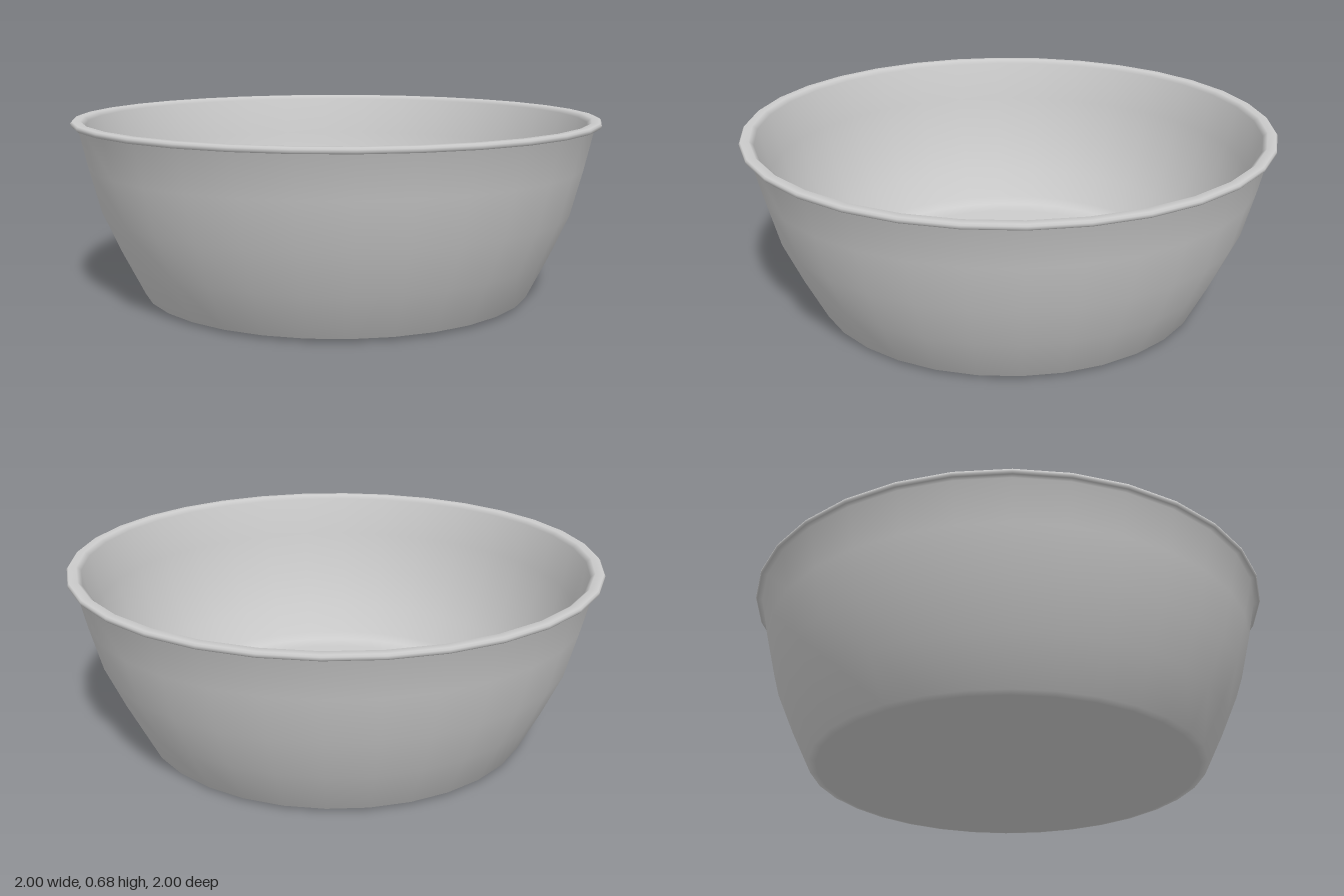
import * as THREE from 'three';

export function createModel() {
  const group = new THREE.Group();
  group.name = 'bowl';
  const material = new THREE.MeshStandardMaterial({ color: 0xcccccc });

  // Closed profile: underside, outer wall, rolled lip, inner wall, floor
  const profile = [
    [0, 0], [0.58, 0], [0.72, 0.005], [0.75, 0.012],
    [0.83, 0.175], [0.9, 0.335], [0.943, 0.505], [0.976, 0.655],
    [0.995, 0.655], [1, 0.661], [1, 0.669], [0.995, 0.675],
    [0.965, 0.675], [0.948, 0.66],
    [0.91, 0.505], [0.867, 0.335], [0.797, 0.19], [0.735, 0.078],
    [0.71, 0.05], [0.65, 0.04], [0, 0.04],
  ].map(([r, y]) => new THREE.Vector2(r, y));

  const bowl = new THREE.Mesh(new THREE.LatheGeometry(profile, 32), material);
  bowl.name = 'bowlBody';
  group.add(bowl);
  return group;
}
